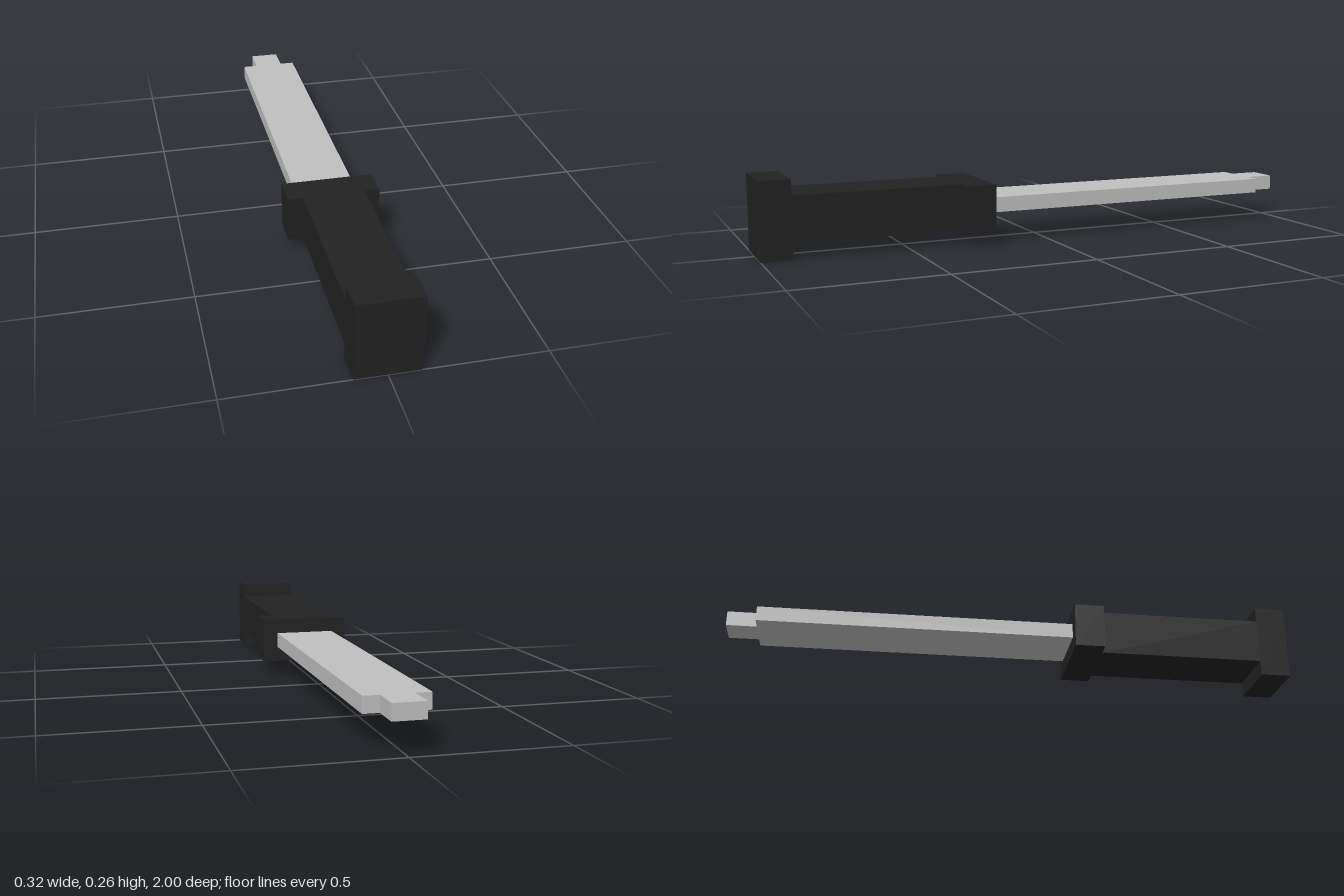
import * as THREE from 'three';

const U = 2 / 38; // one block step; the whole knife is 38 steps long

export function createModel() {
  const group = new THREE.Group();
  const black = new THREE.MeshStandardMaterial({ color: 0x222222 });
  black.name = 'black grip';
  const steel = new THREE.MeshStandardMaterial({ color: 0xc0c0c0 });
  steel.name = 'steel';
  const midY = 2.5 * U;

  // Box centred on the knife's axis, spanning z0..z1 (in steps)
  const block = (name, w, h, z0, z1) => {
    const mesh = new THREE.Mesh(new THREE.BoxGeometry(w * U, h * U, (z1 - z0) * U), black);
    mesh.name = name;
    mesh.position.set(0, midY, ((z0 + z1) / 2) * U);
    group.add(mesh);
  };
  block('pommel', 4, 5, 17, 19);
  block('handle', 4, 3, 6, 17);
  block('guard', 6, 3, 4, 6);

  // Blade: flat outline with a stepped, narrower tip pointing to -z
  const outline = [[-2, -4], [2, -4], [2, 17], [1, 17], [1, 19], [-1, 19], [-1, 17], [-2, 17]];
  const shape = new THREE.Shape(outline.map(([x, y]) => new THREE.Vector2(x * U, y * U)));
  const bladeGeo = new THREE.ExtrudeGeometry(shape, { depth: U, bevelEnabled: false });
  bladeGeo.rotateX(-Math.PI / 2);
  const blade = new THREE.Mesh(bladeGeo, steel);
  blade.name = 'blade';
  blade.position.y = midY - U / 2;
  group.add(blade);

  return group;
}
